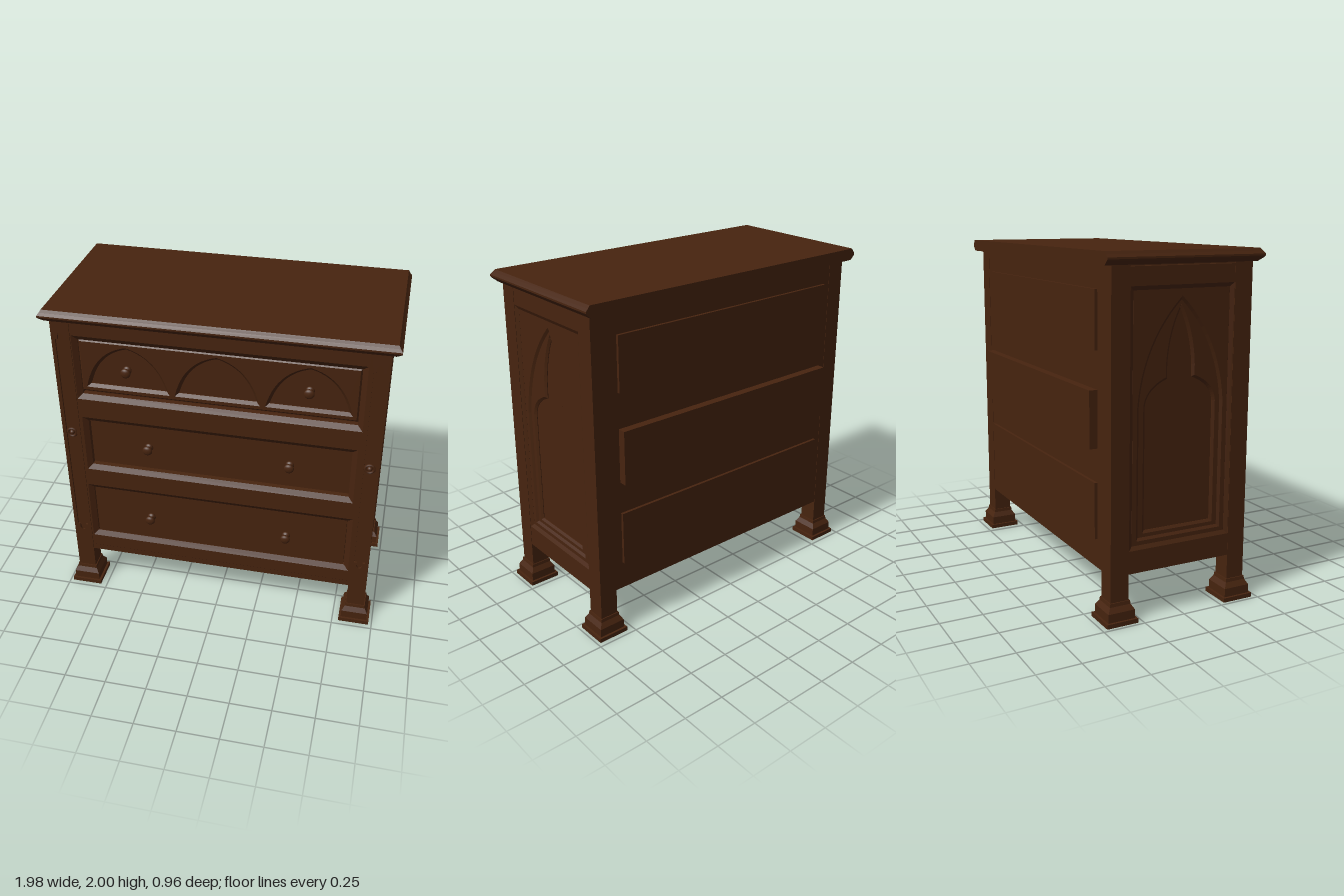
import * as THREE from 'three';

const wood = new THREE.MeshStandardMaterial({ color: 0x47240f });
wood.name = 'dark oak';

function add(parent, name, geo) {
  const m = new THREE.Mesh(geo, wood);
  m.name = name;
  parent.add(m);
  return m;
}

// Box given by its limits on each axis
function box(parent, name, x0, x1, y0, y1, z0, z1) {
  const g = new THREE.BoxGeometry(x1 - x0, y1 - y0, z1 - z0);
  g.translate((x0 + x1) / 2, (y0 + y1) / 2, (z0 + z1) / 2);
  return add(parent, name, g);
}

// Stack of rectangles [y, x0, x1, z0, z1] joined into a solid moulding
function rectLoft(levels) {
  const pos = [];
  const ring = ([y, x0, x1, z0, z1]) => [[x0, y, z1], [x1, y, z1], [x1, y, z0], [x0, y, z0]];
  const quad = (a, b, c, d) => pos.push(...a, ...b, ...c, ...a, ...c, ...d);
  const rings = levels.map(ring);
  for (let i = 0; i < rings.length - 1; i++) {
    for (let k = 0; k < 4; k++) {
      const n = (k + 1) % 4;
      quad(rings[i][k], rings[i][n], rings[i + 1][n], rings[i + 1][k]);
    }
  }
  const b = rings[0], t = rings[rings.length - 1];
  quad(b[3], b[2], b[1], b[0]);
  quad(t[0], t[1], t[2], t[3]);
  const g = new THREE.BufferGeometry();
  g.setAttribute('position', new THREE.Float32BufferAttribute(pos, 3));
  g.computeVertexNormals();
  return g;
}

function rect(x0, x1, y0, y1, Type = THREE.Shape) {
  const s = new Type();
  s.moveTo(x0, y0);
  s.lineTo(x1, y0);
  s.lineTo(x1, y1);
  s.lineTo(x0, y1);
  s.closePath();
  return s;
}

// Board facing +z whose holes slope inwards from the front face
function carved(parent, name, shape, holes, front, depth, thickness, size) {
  shape.holes.push(...holes);
  const g = new THREE.ExtrudeGeometry(shape, {
    depth, bevelEnabled: thickness > 0, bevelThickness: thickness, bevelSize: size,
    bevelSegments: 1, curveSegments: 12,
  });
  g.translate(0, 0, front - depth - thickness);
  return add(parent, name, g);
}

// Pointed arch with straight legs up to the spring line
function arch(cx, half, base, spring, apex, cxr, cy) {
  const p = new THREE.Path();
  p.moveTo(cx - half, base);
  p.lineTo(cx + half, base);
  if (spring > base) p.lineTo(cx + half, spring);
  p.quadraticCurveTo(cx + cxr, cy, cx, apex);
  p.quadraticCurveTo(cx - cxr, cy, cx - half, spring);
  p.closePath();
  return p;
}

// Shouldered tracery outline
function tracery() {
  const p = new THREE.Path();
  p.moveTo(-0.225, 0.48);
  p.lineTo(0.225, 0.48);
  p.lineTo(0.225, 1.18);
  p.quadraticCurveTo(0.215, 1.28, 0.09, 1.33);
  p.lineTo(0.09, 1.39);
  p.quadraticCurveTo(0.08, 1.58, 0, 1.72);
  p.quadraticCurveTo(-0.08, 1.58, -0.09, 1.39);
  p.lineTo(-0.09, 1.33);
  p.quadraticCurveTo(-0.215, 1.28, -0.225, 1.18);
  p.closePath();
  return p;
}

// Narrow groove with stepped, rounded ends
function postGroove(cx) {
  const p = new THREE.Path();
  const w = 0.033, n = 0.018, lo = 0.47, hi = 1.81;
  p.moveTo(cx - w, lo);
  p.lineTo(cx - n, lo);
  p.lineTo(cx - n, lo - 0.025);
  p.quadraticCurveTo(cx, lo - 0.065, cx + n, lo - 0.025);
  p.lineTo(cx + n, lo);
  p.lineTo(cx + w, lo);
  p.lineTo(cx + w, hi);
  p.lineTo(cx + n, hi);
  p.lineTo(cx + n, hi + 0.025);
  p.quadraticCurveTo(cx, hi + 0.065, cx - n, hi + 0.025);
  p.lineTo(cx - n, hi);
  p.lineTo(cx - w, hi);
  p.closePath();
  return p;
}

export function createModel() {
  const root = new THREE.Group();
  root.name = 'chest of drawers';

  // Carcass
  box(root, 'carcass', -0.9, 0.9, 0.27, 1.94, -0.42, 0.36);
  box(root, 'bottomRail', -0.938, 0.938, 0.27, 0.33, -0.425, 0.424);
  box(root, 'topRail', -0.936, 0.936, 1.9, 1.94, -0.425, 0.424);
  box(root, 'backBoard', -0.84, 0.84, 0.275, 1.93, -0.428, -0.4);

  // Top with moulded front and sides, flat at the back
  const topLevels = [[1.93, 0.03], [1.95, 0.008], [1.96, 0], [1.97, 0], [1.985, 0.012], [2, 0.022]]
    .map(([y, i]) => [y, -0.99 + i, 0.99 - i, -0.478, 0.478 - i]);
  add(root, 'top', rectLoft(topLevels));

  // Corner posts and stepped feet
  for (const sx of [-1, 1]) {
    for (const sz of [-1, 1]) {
      const cx = sx * 0.885, cz = sz * 0.375;
      const z1 = sz > 0 ? 0.418 : -0.32, z0 = sz > 0 ? 0.32 : -0.43;
      box(root, 'post', cx - 0.055, cx + 0.055, 0.1, 1.94, z0, z1);
      const profile = [[0, 0.095], [0.025, 0.095], [0.025, 0.081], [0.075, 0.081],
        [0.09, 0.072], [0.105, 0.063], [0.125, 0.061], [0.125, 0.055]];
      add(root, 'foot', rectLoft(profile.map(([y, h]) => [y, cx - h, cx + h, cz - h, cz + h])));
    }
    // Grooved post face with a rosette halfway up
    const cx = sx * 0.885;
    carved(root, 'postFace', rect(cx - 0.055, cx + 0.055, 0.1, 1.94), [postGroove(cx)], 0.43, 0.012, 0, 0);
    const ring = add(root, 'rosetteRing', new THREE.TorusGeometry(0.026, 0.008, 6, 16));
    ring.position.set(cx, 1.18, 0.422);
    const boss = add(root, 'rosetteBoss', new THREE.SphereGeometry(0.016, 12, 8));
    boss.position.set(cx, 1.18, 0.42);
  }

  // Front frame with three sloped drawer openings
  carved(root, 'frontFrame', rect(-0.84, 0.84, 0.31, 1.92), [
    rect(-0.825, 0.825, 1.425, 1.84, THREE.Path),
    rect(-0.81, 0.81, 0.92, 1.3, THREE.Path),
    rect(-0.82, 0.82, 0.39, 0.8, THREE.Path),
  ], 0.425, 0.03, 0.02, 0.03);

  // Drawer fronts
  const niches = [-0.52, 0, 0.52].map((x) => arch(x, 0.245, 1.505, 1.505, 1.785, 0.19, 1.74));
  carved(root, 'topDrawerArcade', rect(-0.785, 0.785, 1.485, 1.8), niches, 0.407, 0.01, 0.02, 0.018);
  box(root, 'topDrawer', -0.79, 0.79, 1.46, 1.81, 0.35, 0.383);
  box(root, 'middleDrawer', -0.785, 0.785, 0.94, 1.28, 0.35, 0.374);
  box(root, 'bottomDrawer', -0.785, 0.785, 0.42, 0.77, 0.35, 0.402);

  // Turned knobs
  const knobProfile = [[0.022, 0], [0.026, 0.008], [0.022, 0.016], [0.012, 0.022], [0.013, 0.03],
    [0.027, 0.037], [0.03, 0.045], [0.026, 0.054], [0.014, 0.059], [0, 0.06]]
    .map(([r, y]) => new THREE.Vector2(r, y));
  const knobGeo = new THREE.LatheGeometry(knobProfile, 20);
  knobGeo.rotateX(Math.PI / 2);
  for (const [x, y, z] of [[0.52, 1.635, 0.385], [0.425, 1.105, 0.37], [0.425, 0.595, 0.404]]) {
    for (const s of [-1, 1]) add(root, 'knob', knobGeo).position.set(s * x, y, z);
  }

  // Side panels: frame, pointed arch and tracery, each set deeper
  for (const s of [-1, 1]) {
    const side = new THREE.Group();
    side.name = s > 0 ? 'leftSide' : 'rightSide';
    side.rotation.y = s * Math.PI / 2;
    carved(side, 'sideFrame', rect(-0.34, 0.34, 0.3, 1.92),
      [rect(-0.318, 0.318, 0.4, 1.82, THREE.Path)], 0.938, 0.01, 0.013, 0.022);
    carved(side, 'archPanel', rect(-0.295, 0.295, 0.42, 1.8),
      [arch(0, 0.268, 0.445, 1.18, 1.76, 0.24, 1.53)], 0.925, 0.005, 0.012, 0.016);
    carved(side, 'traceryPanel', rect(-0.28, 0.28, 0.43, 1.79), [tracery()], 0.914, 0.004, 0.01, 0.014);
    root.add(side);
  }

  // Raised drawer backs
  for (const [y, z] of [[0.44, -0.445], [0.95, -0.476], [1.48, -0.445]]) {
    box(root, 'backPanel', -0.78, 0.78, y, y + 0.32, z, -0.41);
  }
  return root;
}
